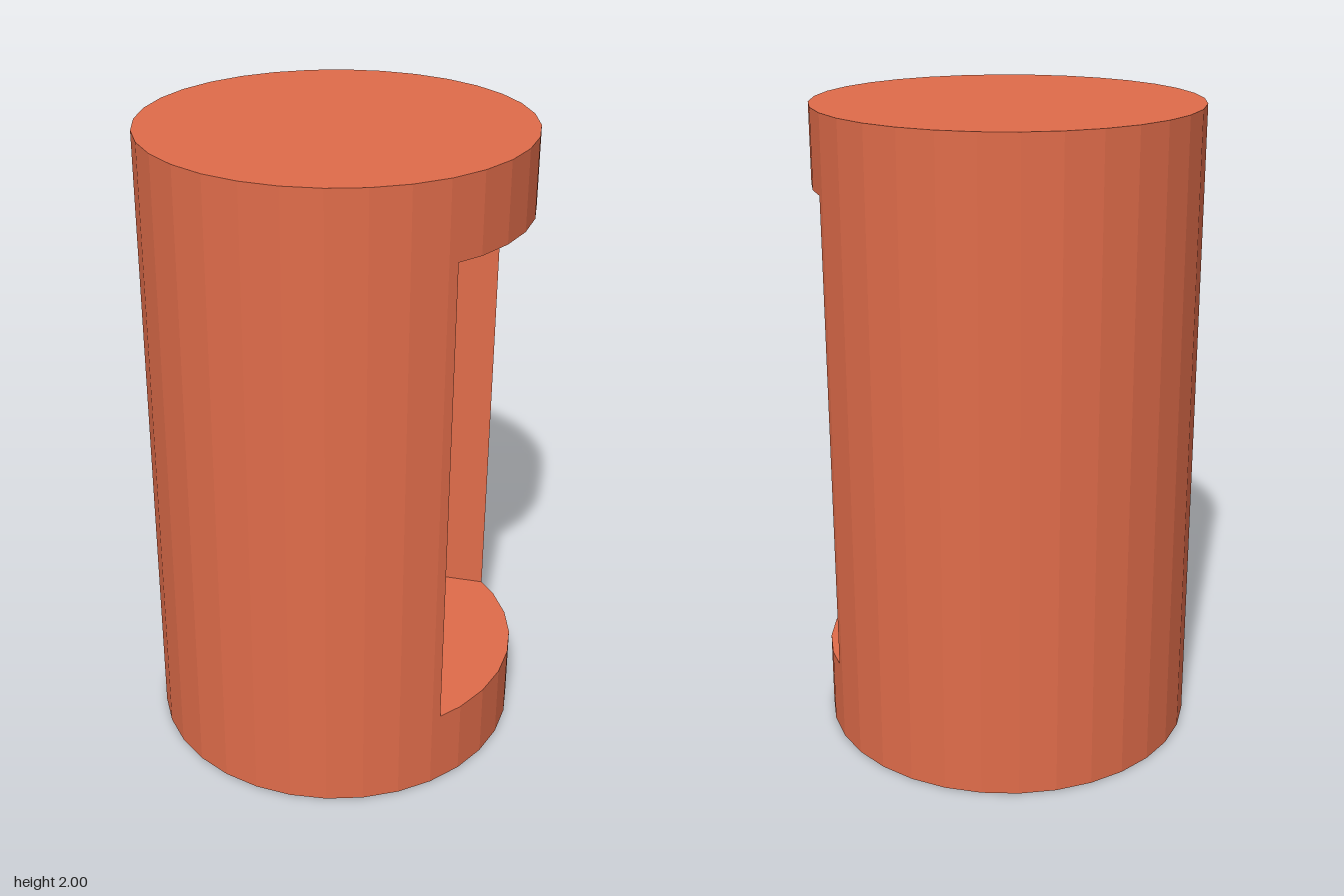
import * as THREE from 'three';

const R = 0.587, SIDES = 32, HEIGHT = 2;
// pocket: back wall, half width, floor and ceiling
const BACK = 0.12, HALF = 0.39, FLOOR = 0.245, CEIL = 1.76;

const ring = (i) => {
  const a = (i / SIDES) * Math.PI * 2;
  return new THREE.Vector2(R * Math.cos(a), R * Math.sin(a));
};
const arc = (from, to) => Array.from({ length: to - from + 1 }, (_, i) => ring(from + i));

// Upright walls over a plan outline of (x, z) points
function walls(points, y0, y1) {
  const pos = [];
  points.forEach((a, i) => {
    const b = points[(i + 1) % points.length];
    pos.push(a.x, y0, a.y, a.x, y1, a.y, b.x, y1, b.y);
    pos.push(a.x, y0, a.y, b.x, y1, b.y, b.x, y0, b.y);
  });
  const g = new THREE.BufferGeometry();
  g.setAttribute('position', new THREE.Float32BufferAttribute(pos, 3));
  g.computeVertexNormals();
  return g;
}

// Horizontal face; outlines are symmetric in z
function flat(points, y, up) {
  return new THREE.ShapeGeometry(new THREE.Shape(points))
    .rotateX(up ? -Math.PI / 2 : Math.PI / 2)
    .translate(0, y, 0);
}

export function createModel() {
  const model = new THREE.Group();
  model.name = 'notchedCylinder';
  const material = new THREE.MeshStandardMaterial({ color: 0xe06c4a, flatShading: true });
  const add = (name, geometry) => {
    const mesh = new THREE.Mesh(geometry, material);
    mesh.name = name;
    model.add(mesh);
  };

  // Where the pocket's side walls cut the facet between ring points 3 and 4
  const p = ring(3), q = ring(4);
  const rim = p.clone().lerp(q, (HALF - p.y) / (q.y - p.y));
  const rimFront = rim, rimBack = new THREE.Vector2(rim.x, -rim.y);
  const innerFront = new THREE.Vector2(BACK, HALF), innerBack = new THREE.Vector2(BACK, -HALF);

  const disc = arc(0, SIDES - 1);
  const body = [rimFront, ...arc(4, SIDES - 4), rimBack, innerBack, innerFront];
  const pocket = [innerBack, rimBack, ...arc(-3, 3), rimFront, innerFront];

  // Solid ends
  add('bottomRing', walls(disc, 0, FLOOR));
  add('bottomFace', flat(disc, 0, false));
  add('topRing', walls(disc, CEIL, HEIGHT));
  add('topFace', flat(disc, HEIGHT, true));

  // Middle with the pocket cut into its left side
  add('bodyWalls', walls(body, FLOOR, CEIL));
  add('pocketFloor', flat(pocket, FLOOR, true));
  add('pocketCeiling', flat(pocket, CEIL, false));

  return model;
}
